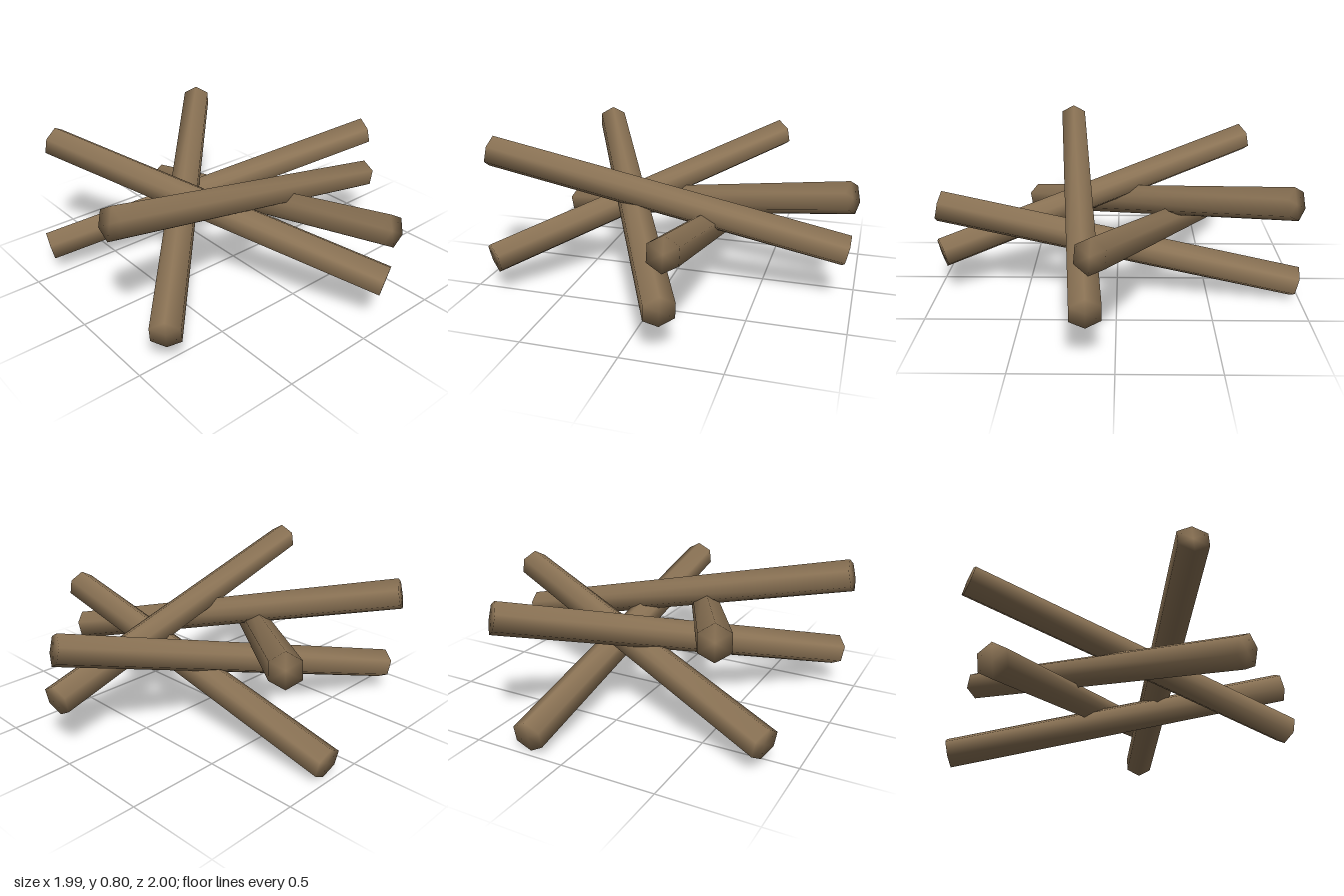
import * as THREE from 'three';
import { mergeVertices } from 'three/addons/utils/BufferGeometryUtils.js';

const RADIUS = 0.087;

// Six-sided log between two points, one ridge facing up, shading blended over the ends
function makeLog(low, high, material) {
  const a = new THREE.Vector3(...low);
  const b = new THREE.Vector3(...high);
  const axis = b.clone().sub(a);
  const length = axis.length();
  axis.normalize();

  let geometry = new THREE.CylinderGeometry(RADIUS, RADIUS, length, 6);
  geometry.deleteAttribute('normal');
  geometry.deleteAttribute('uv');
  geometry = mergeVertices(geometry);
  geometry.computeVertexNormals();

  const log = new THREE.Mesh(geometry, material);
  const up = new THREE.Vector3(0, 1, 0).addScaledVector(axis, -axis.y).normalize();
  const side = new THREE.Vector3().crossVectors(axis, up);
  log.quaternion.setFromRotationMatrix(new THREE.Matrix4().makeBasis(side, axis, up));
  log.position.copy(a).add(b).multiplyScalar(0.5);
  return log;
}

export function createModel() {
  const model = new THREE.Group();
  model.name = 'logPile';
  const wood = new THREE.MeshStandardMaterial({ color: 0x8b7355 });
  wood.name = 'wood';

  // Low end and high end of each leaning log
  const logs = {
    straightLog: [[0.205, 0.087, -0.98], [0.205, 0.522, 0.95]],
    frontLog: [[0.955, 0.288, 0.135], [-0.975, 0.722, 0.305]],
    leftLog: [[0.187, 0.242, 0.957], [-0.672, 0.672, -0.775]],
    diagonalLog: [[-0.868, 0.193, 0.538], [0.443, 0.628, -0.895]],
    backLog: [[-0.855, 0.138, -0.593], [0.96, 0.572, 0.11]],
  };
  for (const [name, [low, high]] of Object.entries(logs)) {
    const log = makeLog(low, high, wood);
    log.name = name;
    model.add(log);
  }
  return model;
}
